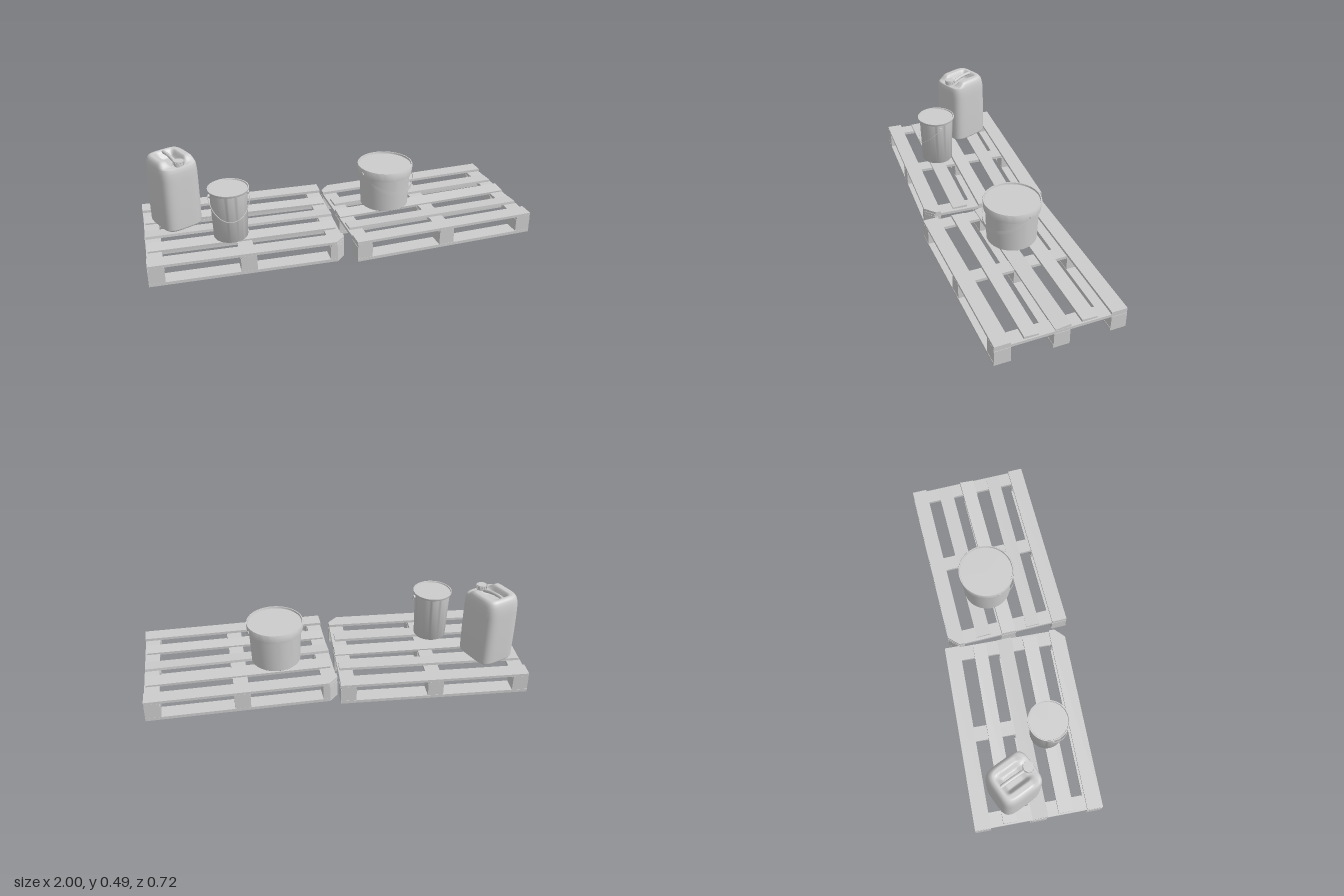
import * as THREE from 'three';
import { toCreasedNormals } from 'three/addons/utils/BufferGeometryUtils.js';

const grey = new THREE.MeshStandardMaterial({ color: 0xcccccc, side: THREE.DoubleSide });
grey.name = 'plain grey';

function add(parent, name, geometry, x = 0, y = 0, z = 0) {
  const mesh = new THREE.Mesh(geometry, grey);
  mesh.name = name;
  mesh.position.set(x, y, z);
  parent.add(mesh);
  return mesh;
}

// Horizontal slab from an outline of [x, z] points
function slab(points, height) {
  const shape = new THREE.Shape(points.map(([x, z]) => new THREE.Vector2(x, -z)));
  return new THREE.ExtrudeGeometry(shape, { depth: height, bevelEnabled: false }).rotateX(-Math.PI / 2);
}

// Rectangle with its +x +z corner cut off
function cutRect(x0, x1, z0, z1, cut) {
  const p = [[x0, z0], [x1, z0]];
  if (cut) p.push([x1, z1 - cut], [x1 - cut, z1]);
  else p.push([x1, z1]);
  p.push([x0, z1]);
  return p;
}

function createPallet() {
  const g = new THREE.Group();
  g.name = 'pallet';
  const L = 0.4875, W = 0.3275;

  // Bottom runners and the blocks standing on them
  for (const z of [-W + 0.04, 0, W - 0.04]) {
    const front = z > 0.1;
    add(g, 'bottomRunner', slab(cutRect(-L, L, z - 0.0415, z + 0.0405, front ? 0.045 : 0), 0.016));
    for (const x of [-L + 0.04, -0.0025, L - 0.04]) {
      const cut = front && x > 0.3 ? 0.045 : 0;
      add(g, 'block', slab(cutRect(x - 0.04, x + 0.04, z - 0.04, z + 0.04, cut), 0.067), 0, 0.016, 0);
    }
  }

  // Cross boards
  [-L + 0.04, -0.0025, L - 0.04].forEach((x, i) => {
    const outline = cutRect(x - 0.038, x + 0.038, -W, W, i === 2 ? 0.045 : 0);
    add(g, 'crossBoard', slab(outline, 0.015), 0, 0.083, 0);
  });

  // Deck boards: z, half width, end x values, roll, skew, corner cut
  const boards = [
    [-0.287, 0.04, -L, L, 0, 0, 0],
    [-0.143, 0.036, -0.478, 0.478, 0.06, -0.008, 0],
    [0.003, 0.039, -0.484, 0.485, -0.1, 0.008, 0],
    [0.138, 0.039, -0.478, 0.47, 0.05, 0.004, 0],
    [0.287, 0.04, -L, L, 0, 0, 0.05],
  ];
  for (const [z, w, x0, x1, roll, skew, cut] of boards) {
    const b = add(g, 'deckBoard', slab(cutRect(x0, x1, -w, w, cut), 0.014), 0, 0.098, z);
    if (roll) b.position.y -= 0.003;
    b.rotation.set(roll, skew, 0);
  }
  return g;
}

function lathe(profile) {
  const pts = profile.map(([r, y]) => new THREE.Vector2(r, y));
  return toCreasedNormals(new THREE.LatheGeometry(pts, 48), 0.6);
}

// Half loop hanging from ear to ear around the front of a bucket
function handlePoint(t, radius, top, drop) {
  return new THREE.Vector3(radius * Math.cos(t), top - drop * Math.sin(t), radius * Math.sin(t));
}

function addEars(g, radius, y, size) {
  for (const s of [-1, 1]) {
    const ear = add(g, 'handleEar', new THREE.CylinderGeometry(size, size, 0.012, 16), s * radius, y, 0);
    ear.rotation.z = Math.PI / 2;
  }
}

function createSmallBucket() {
  const g = new THREE.Group();
  g.name = 'smallBucket';
  add(g, 'bucketBody', lathe([[0, 0], [0.084, 0], [0.086, 0.003], [0.094, 0.256], [0.101, 0.256],
    [0.103, 0.259], [0.103, 0.267], [0.098, 0.267], [0.096, 0.261], [0, 0.261]]));
  addEars(g, 0.096, 0.231, 0.009);
  const pts = Array.from({ length: 17 }, (_, i) => handlePoint(Math.PI * i / 16, 0.102, 0.231, 0.108));
  add(g, 'wireHandle', new THREE.TubeGeometry(new THREE.CatmullRomCurve3(pts), 48, 0.002, 6));
  return g;
}

function createLargeBucket() {
  const g = new THREE.Group();
  g.name = 'largeBucket';
  add(g, 'bucketBody', lathe([[0, 0], [0.125, 0], [0.128, 0.003], [0.135, 0.181], [0.144, 0.181],
    [0.148, 0.225], [0.146, 0.229], [0.141, 0.229], [0.139, 0.22], [0, 0.22]]));
  addEars(g, 0.144, 0.199, 0.009);
  // Flat strap, widening toward its middle
  const strap = new THREE.PlaneGeometry(1, 1, 40, 1);
  const p = strap.attributes.position;
  for (let i = 0; i < p.count; i++) {
    const t = (p.getX(i) + 0.5) * Math.PI;
    const v = handlePoint(t, 0.15, 0.2, 0.09);
    p.setXYZ(i, v.x, v.y + p.getY(i) * (0.009 + 0.014 * Math.sin(t)), v.z);
  }
  strap.computeVertexNormals();
  add(g, 'strapHandle', strap);
  return g;
}

const smooth = THREE.MathUtils.smoothstep;

function createCanister() {
  const g = new THREE.Group();
  g.name = 'canister';
  const N = 72, HX = 0.105, HZ = 0.116;

  // Rings of [height, scale]; the top closes inward with a sunken grip
  const rings = [[0, 0], [0, 0.94], [0.004, 0.98], [0.012, 1], [0.15, 1.01], [0.28, 1], [0.315, 0.985],
    [0.34, 0.955], [0.357, 0.91], [0.367, 0.85], [0.372, 0.78]];
  for (let i = 1; i <= 18; i++) rings.push([0.372, 0.78 * (1 - i / 18)]);
  const pos = [], idx = [];
  rings.forEach(([y, s], r) => {
    for (let i = 0; i < N; i++) {
      const a = i / N * Math.PI * 2, c = Math.cos(a), d = Math.sin(a);
      const k = s * Math.pow(Math.pow(Math.abs(c), 4.5) + Math.pow(Math.abs(d), 4.5), -1 / 4.5);
      const x = HX * k * c, z = HZ * k * d;
      let h = y;
      if (y > 0.33) {
        const grip = (1 - smooth(Math.abs(x), 0.03, 0.056)) * smooth(z, -0.08, -0.045);
        const floor = 0.334 + 0.012 * smooth(z, 0.03, 0.07);
        h = Math.min(y, y + (floor - y) * grip);
        h -= Math.max(0, h - 0.343) * 0.9 * smooth(z, 0.045, 0.09);
      }
      pos.push(x, h, z);
      if (r) {
        const j = (i + 1) % N, A = (r - 1) * N, B = r * N;
        idx.push(A + i, B + i, A + j, B + i, B + j, A + j);
      }
    }
  });
  const body = new THREE.BufferGeometry();
  body.setAttribute('position', new THREE.Float32BufferAttribute(pos, 3));
  body.setIndex(idx);
  body.computeVertexNormals();
  add(g, 'canisterBody', body);

  // Grip bar running from the back of the recess to the neck
  const path = new THREE.CatmullRomCurve3([[-0.085, 0.362], [-0.055, 0.366], [0, 0.362], [0.04, 0.352], [0.075, 0.338]]
    .map(([z, y]) => new THREE.Vector3(0, y, z)));
  add(g, 'gripBar', new THREE.TubeGeometry(path, 24, 0.009, 12));

  // Neck and ribbed screw cap
  add(g, 'neck', new THREE.CylinderGeometry(0.021, 0.023, 0.025, 24), 0, 0.34, 0.083);
  add(g, 'cap', new THREE.CylinderGeometry(0.025, 0.027, 0.02, 24), 0, 0.361, 0.083);
  for (let i = 0; i < 12; i++) {
    const a = i / 12 * Math.PI * 2;
    const rib = add(g, 'capRib', new THREE.BoxGeometry(0.005, 0.016, 0.004),
      0.0265 * Math.cos(a), 0.36, 0.083 + 0.0265 * Math.sin(a));
    rib.rotation.y = -a;
  }
  return g;
}

export function createModel() {
  const model = new THREE.Group();
  model.name = 'palletsWithContainers';
  const place = (obj, x, y, z, turn) => {
    obj.position.set(x, y, z);
    obj.rotation.y = turn;
    model.add(obj);
  };
  const deck = 0.112;
  place(createPallet(), -0.5125, 0, 0.0025, 0);
  place(createPallet(), 0.49, 0, 0, Math.PI + 0.068);
  place(createSmallBucket(), -0.573, deck, 0.122, 0);
  place(createLargeBucket(), 0.287, deck, -0.038, 0.34);
  place(createCanister(), -0.828, deck, -0.1, 0.44);
  return model;
}
